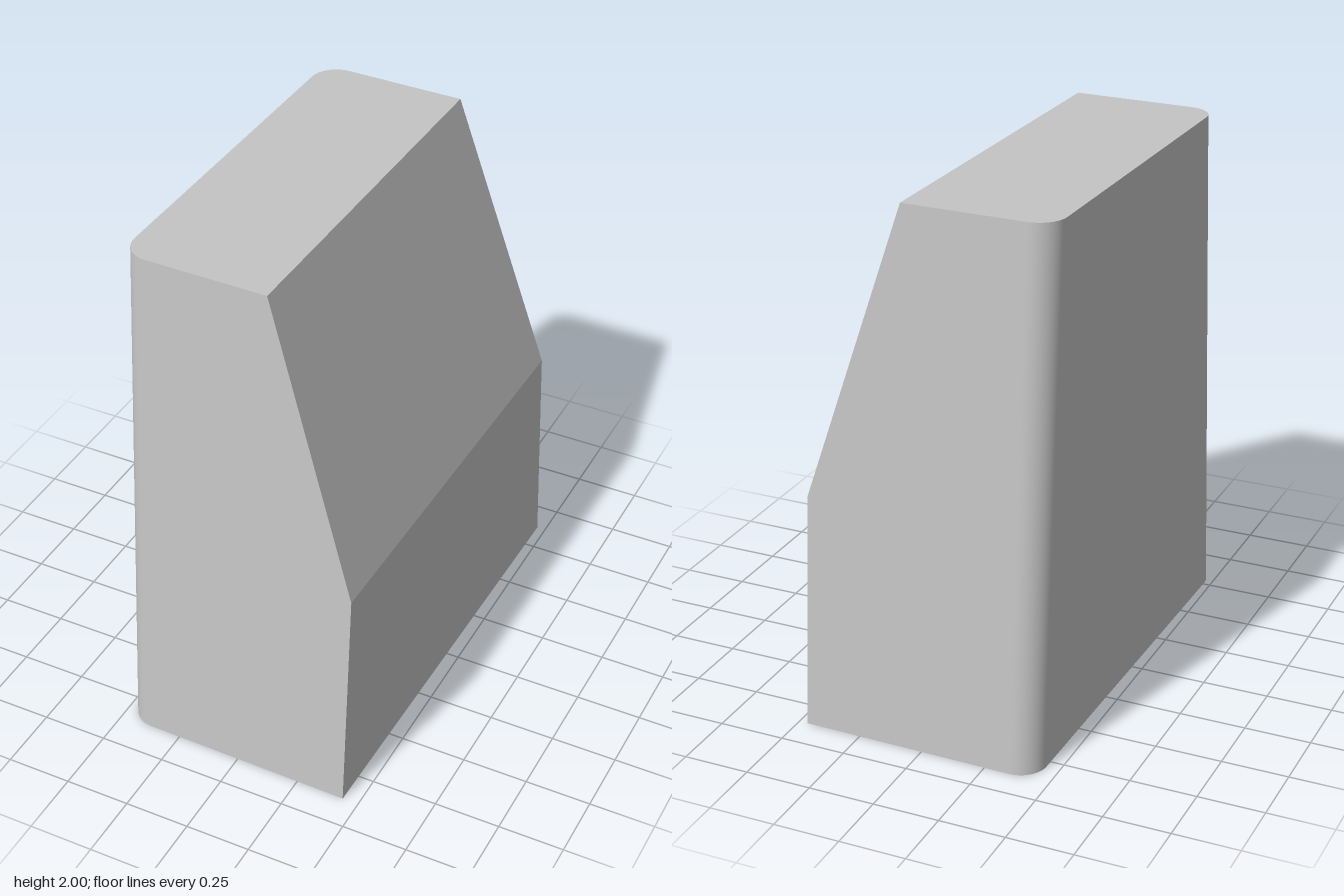
import * as THREE from 'three';
import { toCreasedNormals } from 'three/addons/utils/BufferGeometryUtils.js';

const LEFT = -0.46;     // x of the upright side with rounded edges
const RADIUS = 0.1;     // rounding of those two edges
const STEPS = 12;       // segments per rounded edge

// Height, half depth and x of the sloping side for each cross-section
const LEVELS = [
  { y: 0, depth: 0.874, right: 0.452 },
  { y: 0.89, depth: 0.81, right: 0.452 },
  { y: 2, depth: 0.73, right: 0.102 },
];

// Outline of one cross-section: sharp corners at +x, rounded ones at -x
function ring({ y, depth, right }) {
  const points = [[right, y, depth]];
  for (const side of [1, -1]) {
    for (let i = 0; i <= STEPS; i++) {
      const t = (i / STEPS) * Math.PI / 2;
      const a = side > 0 ? Math.PI / 2 - t : -t;
      points.push([
        LEFT + RADIUS - RADIUS * Math.cos(a),
        y,
        side * (depth - RADIUS) + RADIUS * Math.sin(a),
      ]);
    }
  }
  points.push([right, y, -depth]);
  return points;
}

function bodyGeometry() {
  const rings = LEVELS.map(ring);
  const n = rings[0].length;
  const index = [];
  // Walls between neighbouring cross-sections
  for (let l = 0; l < rings.length - 1; l++) {
    for (let i = 0; i < n; i++) {
      const j = (i + 1) % n;
      const a = l * n + i, b = l * n + j, c = b + n, d = a + n;
      index.push(a, d, c, a, c, b);
    }
  }
  // Base and top
  const top = (rings.length - 1) * n;
  for (let i = 1; i < n - 1; i++) {
    index.push(0, i, i + 1, top, top + i + 1, top + i);
  }
  const geometry = new THREE.BufferGeometry();
  geometry.setAttribute('position', new THREE.Float32BufferAttribute(rings.flat(2), 3));
  geometry.setIndex(index);
  return toCreasedNormals(geometry, THREE.MathUtils.degToRad(12));
}

export function createModel() {
  const grey = new THREE.MeshStandardMaterial({ color: 0xc4c4c4 });
  grey.name = 'light grey';

  const body = new THREE.Mesh(bodyGeometry(), grey);
  body.name = 'taperedBlock';
  // The block stands very slightly turned
  body.rotation.y = -0.016;
  body.position.z = -0.004;

  const model = new THREE.Group();
  model.name = 'taperedBlockModel';
  model.add(body);
  return model;
}
